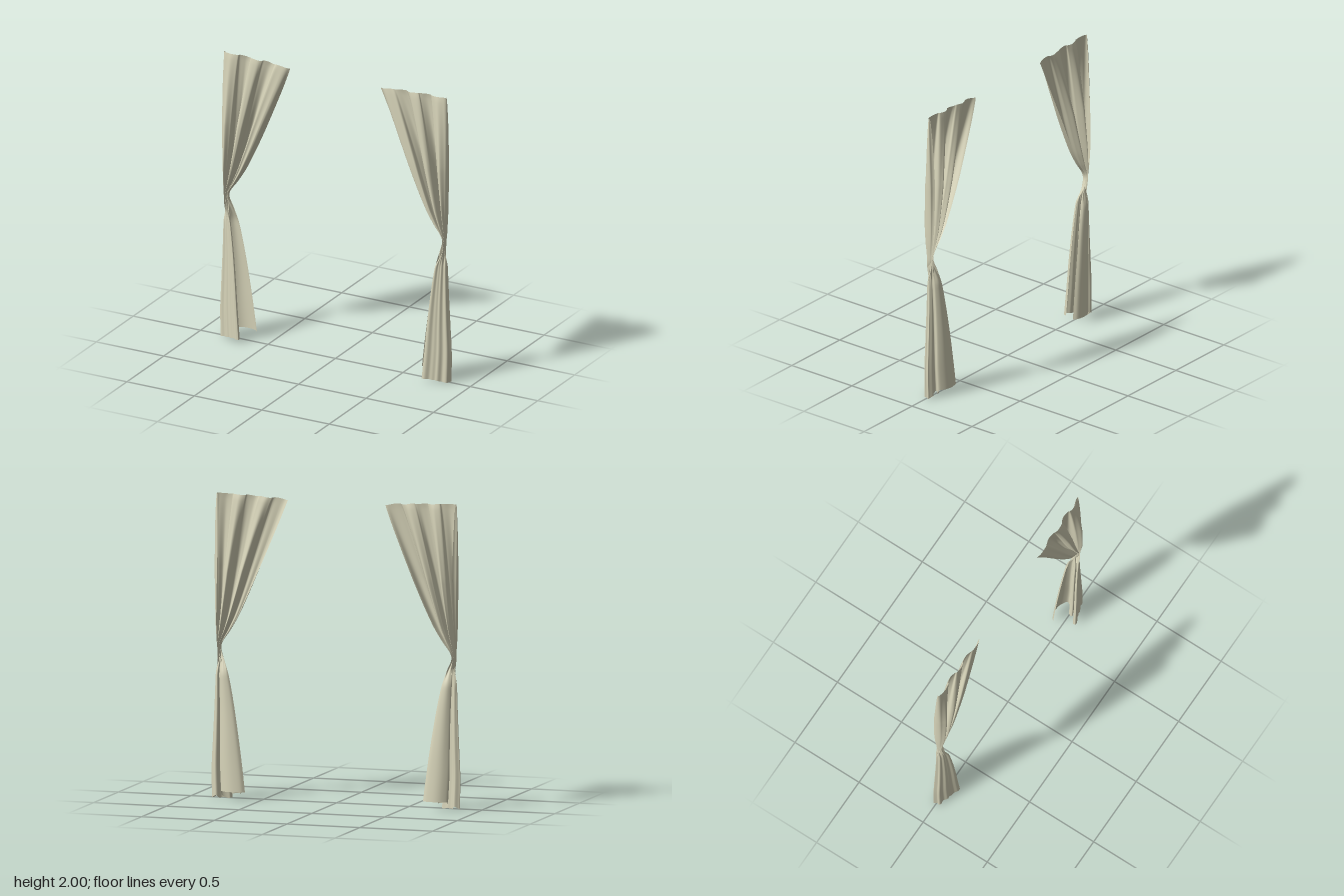
import * as THREE from 'three';

// Cloth cross-sections as [s, z]: s runs 0 (outer edge) to 1 (inner edge), z is in fold depths
const gathered = [
  [0.08, -0.8], [0, -0.3], [0.02, 0.5], [0.12, 0.95], [0.22, 0.5], [0.23, -0.5], [0.31, -1], [0.4, -0.2], [0.4, 0.7],
  [0.49, 0.9], [0.55, 0.2], [0.57, -0.5], [0.66, -0.85], [0.73, -0.1], [0.78, 0.65], [0.9, 0.6], [1, -0.5],
];
const hanging = [
  [0.72, 0.7], [0.7, 0.97], [0.58, 0.84], [0.45, 0.65], [0.33, 0.6], [0.2, 0.38], [0.05, 0.3], [0.05, 0.05], [0, -0.22],
  [0.13, -0.38], [0.3, 0.05], [0.52, 0.25], [0.5, -0.1], [0.3, -0.45], [0.46, -0.92], [0.82, -1], [1, -0.65],
];
const heading = gathered.map(([s, z], i) => [0.5 * s + 0.5 * i / 16, z * 0.22 + 0.12]);

// Height, outer x, inner x and fold depth down the curtain
const levels = [
  [2.0, 0.84, 0.335, 0.05], [1.8, 0.838, 0.41, 0.05], [1.6, 0.834, 0.49, 0.05], [1.4, 0.831, 0.575, 0.05],
  [1.2, 0.828, 0.67, 0.045], [1.1, 0.825, 0.73, 0.035], [1.0, 0.82, 0.793, 0.023], [0.9, 0.824, 0.762, 0.034],
  [0.8, 0.828, 0.73, 0.045], [0.6, 0.835, 0.69, 0.057], [0.4, 0.844, 0.66, 0.067], [0.2, 0.853, 0.635, 0.074],
  [0.0, 0.85, 0.612, 0.081],
];

// Smooth lookup of one column of the levels table
function levelAt(y, column) {
  let i = 0;
  while (i < levels.length - 2 && levels[i + 1][0] > y) i++;
  const a = levels[i], b = levels[i + 1];
  const slope = (k) => {
    const p = levels[Math.max(k - 1, 0)], n = levels[Math.min(k + 1, levels.length - 1)];
    return (n[column] - p[column]) / (n[0] - p[0]);
  };
  const h = b[0] - a[0], t = (y - a[0]) / h, t2 = t * t, t3 = t2 * t;
  return (2 * t3 - 3 * t2 + 1) * a[column] + (t3 - 2 * t2 + t) * h * slope(i)
    + (3 * t2 - 2 * t3) * b[column] + (t3 - t2) * h * slope(i + 1);
}

// Tied-back curtain: a cloth sheet lofted from the top heading to the hem
function curtainGeometry(side) {
  const columns = 160, rows = 100;
  const positions = [], indices = [];
  const { clamp, smoothstep } = THREE.MathUtils;
  const curve = (shape) => new THREE.CatmullRomCurve3(shape.map(([s, z]) => new THREE.Vector3(s, 0, z)));
  const top = curve(heading), middle = curve(gathered), bottom = curve(hanging);
  for (let r = 0; r <= rows; r++) {
    const y = 2 * (1 - r / rows);
    const outer = levelAt(y, 1), inner = levelAt(y, 2), depth = levelAt(y, 3);
    const open = Math.pow(clamp((2 - y) / 0.5, 0, 1), 0.65);
    const fall = 1 - smoothstep(y, 0.8, 1.04);
    for (let c = 0; c <= columns; c++) {
      const u = c / columns;
      const p = top.getPoint(u).lerp(middle.getPoint(u), open).lerp(bottom.getPoint(u), fall);
      // Fine secondary pleats
      const pleat = 0.06 * Math.sin(u * 75) * open * (1 - 0.5 * fall);
      // Heading sags toward the inner edge
      const sag = 0.018 * p.x * p.x * smoothstep(y, 1.4, 2);
      const scallop = 0.004 * (1 + Math.cos(u * 32)) * smoothstep(y, 1.7, 2) * p.x;
      // Hem rises on the front flap and more on the back flap
      const lift = 0.022 * smoothstep(p.z, 0.1, 0.9) + 0.048 * smoothstep(-p.z, 0.2, 0.65);
      const rise = lift * (1 - smoothstep(y, 0, 0.6));
      positions.push(side * (outer + (inner - outer) * p.x), y - sag - scallop + rise, (p.z + pleat) * depth);
    }
  }
  for (let r = 0; r < rows; r++) {
    for (let c = 0; c < columns; c++) {
      const a = r * (columns + 1) + c, b = a + 1, d = a + columns + 1, e = d + 1;
      if (side > 0) indices.push(a, b, d, b, e, d);
      else indices.push(a, d, b, b, d, e);
    }
  }
  const geometry = new THREE.BufferGeometry();
  geometry.setAttribute('position', new THREE.Float32BufferAttribute(positions, 3));
  geometry.setIndex(indices);
  geometry.computeVertexNormals();
  return geometry;
}

export function createModel() {
  const group = new THREE.Group();
  group.name = 'curtains';
  const cloth = new THREE.MeshStandardMaterial({ color: 0xd8d5ba, side: THREE.DoubleSide });
  for (const [name, side] of [['leftCurtain', 1], ['rightCurtain', -1]]) {
    const curtain = new THREE.Mesh(curtainGeometry(side), cloth);
    curtain.name = name;
    group.add(curtain);
  }
  return group;
}
